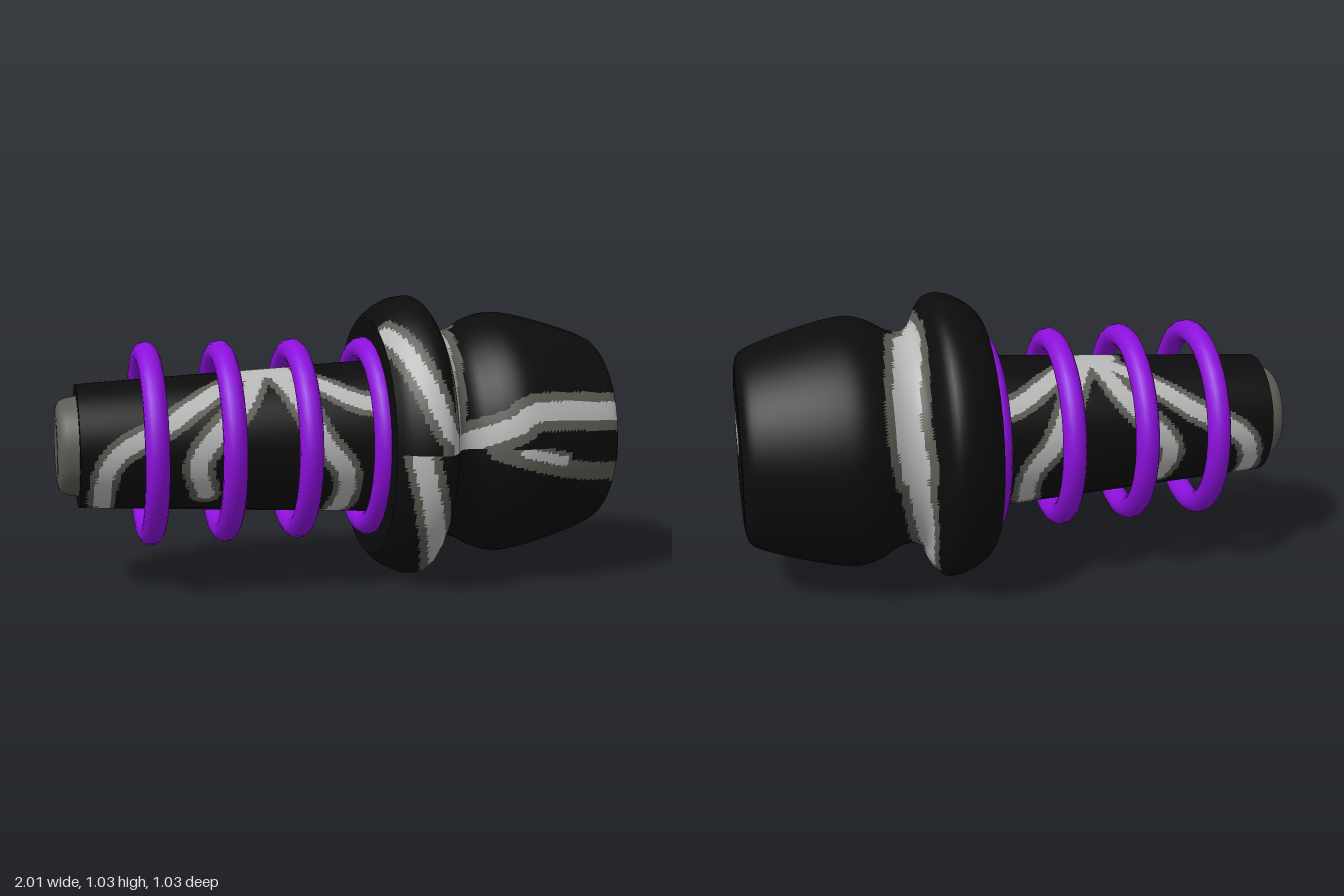
import * as THREE from 'three';

const CY = 0.515, SIDES = 32, SPLIT = 8, N = SIDES * SPLIT;
const mat = (name, color) => Object.assign(new THREE.MeshStandardMaterial({ color }), { name });

// Profiles as [x, radius]
const SHAFT = [[-0.93, 0.22], [0.13, 0.28]];
const HEAD = [[0.13, 0.438], [0.165, 0.475], [0.24, 0.512], [0.3, 0.513], [0.34, 0.468], [0.37, 0.405], [0.4, 0.388],
  [0.45, 0.39], [0.53, 0.432], [0.6, 0.45], [0.7, 0.438], [0.95, 0.362], [0.985, 0.34], [1, 0.3], [1, 0]];

const radiusAt = (x) => {
  const p = x < 0.13 ? SHAFT : HEAD;
  const i = Math.max(1, p.findIndex((q) => q[0] >= x));
  const [a, b] = [p[i - 1], p[i]];
  return a[1] + (b[1] - a[1]) * (x - a[0]) / (b[0] - a[0]);
};

// A vein is a smooth path of [x, degrees around, optional radius]; 0 = front, 90 = top
const samples = [];
function vein(light, dark, points, mirror) {
  const curve = new THREE.CatmullRomCurve3(
    points.map(([x, deg, r]) => new THREE.Vector3(x, deg, r ?? radiusAt(x))), false, 'catmullrom', 0.5);
  for (const p of curve.getPoints((points.length - 1) * 24)) {
    const x = Math.min(p.x, 1), t = THREE.MathUtils.degToRad(p.y);
    const r = x < 0.985 ? radiusAt(x) : p.z;
    const s = { x, y: CY + r * Math.sin(t), z: r * Math.cos(t), light, dark, upper: p.y > 0 && p.y < 180 };
    samples.push(s);
    if (mirror) samples.push({ ...s, z: -s.z });
  }
}

function layVeins() {
  // shaft, the same on front and back
  vein(0.028, 0.05, [[-0.86, -90], [-0.83, -10], [-0.6, 28], [-0.26, 88]], true);
  vein(0.028, 0.05, [[-0.26, 85], [0, 41], [0.129, 31]], true);
  vein(0.03, 0.055, [[-0.5, -40], [-0.52, -5], [-0.36, 40], [-0.28, 82]], true);
  vein(0.03, 0.055, [[-0.25, 82], [-0.1, 10], [0, -25], [-0.03, -90]], true);
  vein(0.07, 0.09, [[-0.31, 88], [-0.24, 82]], false);
  // collar and groove
  vein(0.03, 0.06, [[0.135, 62], [0.27, 16], [0.36, 1]], false);
  vein(0.025, 0.06, [[0.355, 1], [0.365, 45], [0.385, 95]], false);
  vein(0.05, 0.085, [[0.4, 100], [0.45, 150], [0.43, 180]], false);
  vein(0.035, 0.065, [[0.43, 180], [0.35, 250], [0.325, 300], [0.2, 359]], false);
  // head and its end face
  vein(0.035, 0.07, [[0.33, 1], [0.55, 10], [0.65, 16.5], [0.97, 18], [1, 20, 0.22], [1, 2, 0.13]], false);
  vein(0, 0.035, [[0.5, -1], [0.85, -14], [0.97, -18], [1, -25, 0.25], [1, -2, 0.11]], false);
  vein(0.018, 0.035, [[0.6, -1.5], [0.75, -7]], false);
}

// 0 black, 1 dark grey, 2 light grey; veins stop sharply along the front seam
function veinAt(x, y, z) {
  let level = 0;
  for (const s of samples) {
    const dx = x - s.x;
    if (Math.abs(dx) > 0.1 || (x > 0.13) !== (s.x > 0.13)) continue;
    if (x > 0.13 && x < 0.99 && z > 0.2 && s.upper !== (y > CY)) continue;
    const d = Math.hypot(dx, y - s.y, z - s.z);
    if (d < s.light) return 2;
    if (d < s.dark) level = 1;
  }
  return level;
}

// Splits a profile into short steps, rounding it where it has several points
function refine(profile) {
  const v = profile.map(([x, r]) => new THREE.Vector3(x, r, 0));
  const curve = v.length > 2 ? new THREE.CatmullRomCurve3(v) : new THREE.LineCurve3(v[0], v[1]);
  return curve.getSpacedPoints(Math.ceil(curve.getLength() / 0.015));
}

// Turned surface about the x axis, its triangles sorted into colour groups
function turned(name, profile, materials) {
  const pts = refine(profile);
  const pos = [], nor = [], lists = materials.map(() => []);
  const step = Math.PI * 2 / SIDES;
  pts.forEach((p, i) => {
    const a = pts[Math.max(0, i - 1)], b = pts[Math.min(pts.length - 1, i + 1)];
    const len = Math.hypot(b.x - a.x, b.y - a.y);
    const nx = (a.y - b.y) / len, nr = (b.x - a.x) / len;
    for (let j = 0; j <= N; j++) {
      const t = j / N * Math.PI * 2;
      const local = ((j % SPLIT) / SPLIT - 0.5) * step;
      const r = Math.max(0, p.y) * Math.cos(step / 2) / Math.cos(local);
      pos.push(p.x, CY + r * Math.sin(t), r * Math.cos(t));
      nor.push(nx, nr * Math.sin(t), nr * Math.cos(t));
    }
  });
  const mid = (tri, k) => (pos[tri[0] * 3 + k] + pos[tri[1] * 3 + k] + pos[tri[2] * 3 + k]) / 3;
  for (let i = 0; i + 1 < pts.length; i++) {
    for (let j = 0; j < N; j++) {
      const a = i * (N + 1) + j, b = a + N + 1;
      for (const tri of [[a, b, b + 1], [a, b + 1, a + 1]]) {
        const level = materials.length > 1 ? veinAt(mid(tri, 0), mid(tri, 1), mid(tri, 2)) : 0;
        lists[level].push(...tri);
      }
    }
  }
  const g = new THREE.BufferGeometry();
  g.setAttribute('position', new THREE.Float32BufferAttribute(pos, 3));
  g.setAttribute('normal', new THREE.Float32BufferAttribute(nor, 3));
  g.setIndex(lists.flat());
  let start = 0;
  lists.forEach((l, k) => { g.addGroup(start, l.length, k); start += l.length; });
  const mesh = new THREE.Mesh(g, materials);
  mesh.name = name;
  return mesh;
}

export function createModel() {
  const group = new THREE.Group();
  group.name = 'ringedPlug';
  const black = mat('black', 0x0c0c0c), dark = mat('darkGrey', 0x5c5b54);
  const light = mat('lightGrey', 0xb8b8b8), purple = mat('purple', 0x8c10dc);
  const marble = [black, dark, light];

  samples.length = 0;
  layVeins();
  group.add(
    turned('shaft', SHAFT, marble),
    turned('shaftEnd', [[-0.93, 0], [-0.93, 0.22]], [black]),
    turned('collarBack', [[0.13, 0.26], [0.13, 0.438]], [black]),
    turned('head', HEAD, marble),
    turned('endCap', [[-1, 0], [-1, 0.14], [-0.985, 0.165], [-0.93, 0.18]], [dark]),
  );

  // Four loose rings around the shaft
  const ringGeo = new THREE.TorusGeometry(0.324, 0.042, 14, SIDES).rotateY(Math.PI / 2);
  for (let i = 0; i < 4; i++) {
    const ring = new THREE.Mesh(ringGeo, purple);
    ring.name = 'ring' + (i + 1);
    ring.position.set(-0.68 + i * 0.267, CY, 0);
    group.add(ring);
  }
  return group;
}
